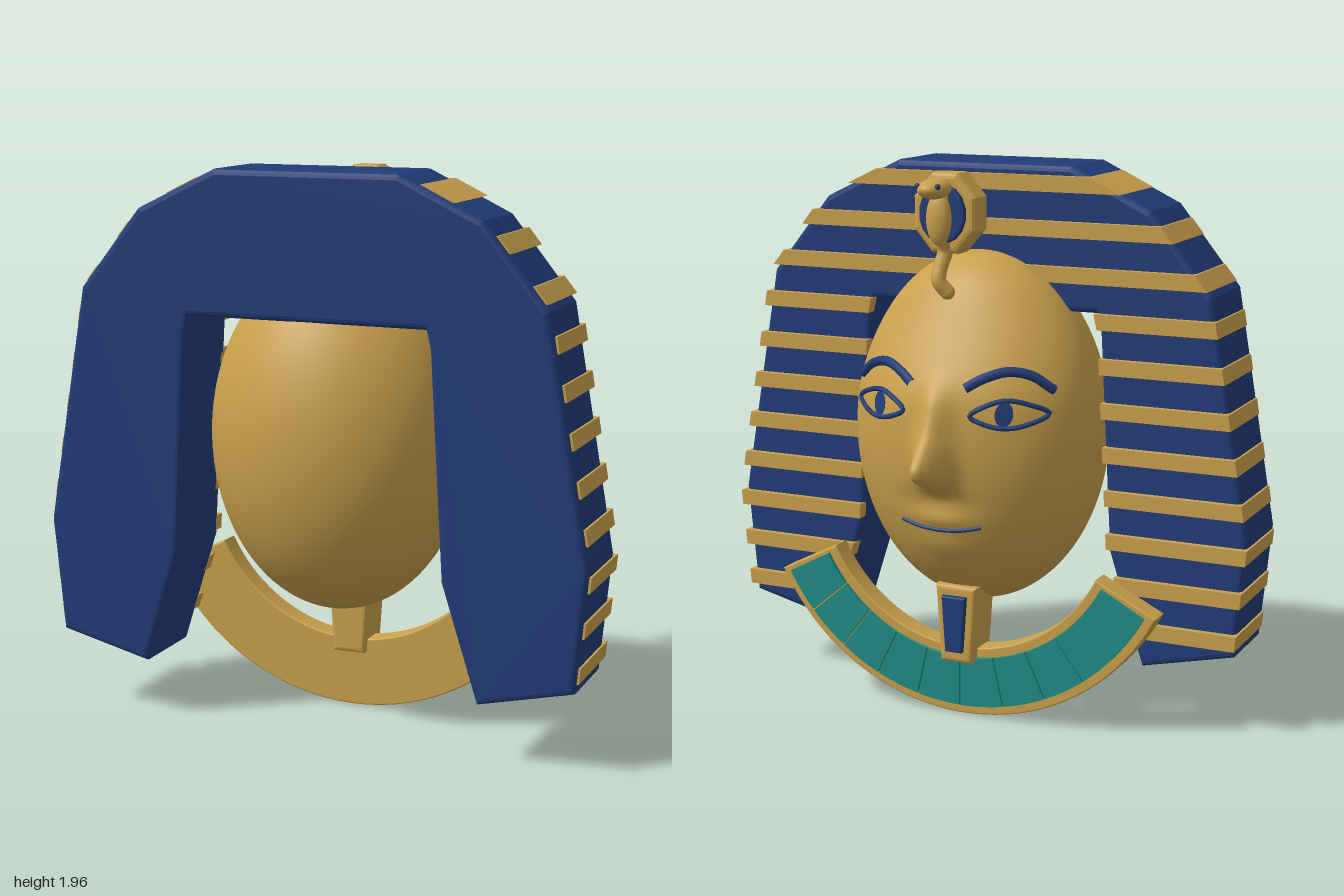
import * as THREE from 'three';
import { mergeVertices } from 'three/addons/utils/BufferGeometryUtils.js';

export function createModel() {
  const root = new THREE.Group();
  const mat = (name, color) => Object.assign(new THREE.MeshStandardMaterial({ color }), { name });
  const gold = mat('gold', 0xc9a04c);
  const blue = mat('lapis blue', 0x213c78);
  const teal = mat('turquoise', 0x1f8c86);
  const add = (name, geo, material, parent = root) => {
    const m = new THREE.Mesh(geo, material);
    m.name = name;
    parent.add(m);
    return m;
  };
  const group = (name) => {
    const g = new THREE.Group();
    g.name = name;
    root.add(g);
    return g;
  };
  // Outline extruded from z0 to z1, bevel kept inside the outline
  const slab = (pts, z0, z1, b = 0) => {
    const shape = pts instanceof THREE.Shape ? pts : new THREE.Shape(pts.map(p => new THREE.Vector2(p[0], p[1])));
    return new THREE.ExtrudeGeometry(shape, {
      depth: z1 - z0 - 2 * b, bevelEnabled: b > 0, bevelSize: b, bevelThickness: b,
      bevelOffset: -b, bevelSegments: 3, curveSegments: 40,
    }).translate(0, 0, z0 + b);
  };
  // Piecewise interpolation through [key, value] pairs in rising order
  const lookup = (table, k, smooth) => {
    if (k <= table[0][0]) return table[0][1];
    for (let i = 1; i < table.length; i++) {
      const [a, va] = table[i - 1], [b, vb] = table[i];
      if (k <= b) {
        let t = (k - a) / (b - a);
        if (smooth) t = t * t * (3 - 2 * t);
        return va + (vb - va) * t;
      }
    }
    return table[table.length - 1][1];
  };

  // Headdress
  const outer = [[0.29, 0.955], [0.7, 0.993], [1.54, 0.845], [1.82, 0.62], [1.96, 0.33]];
  const inner = [[0.21, 0.62], [0.62, 0.49], [1.4, 0.445], [1.46, 0.43]];
  const half = [...outer].reverse().concat(inner).map(([y, x]) => [x, y]);
  const hood = half.concat([...half].reverse().map(([x, y]) => [-x, y]));
  add('headdress', slab(hood, 0.07, 0.395, 0.02), blue);

  // Stripes: a bar over the face side and a band wrapped round each outer edge
  const stripes = group('headdressStripes');
  for (let i = 0; i < 11; i++) {
    const y0 = 0.322 + i * 0.155, y1 = y0 + 0.055;
    const o0 = lookup(outer, y0) + 0.008, o1 = lookup(outer, y1) + 0.008;
    const i0 = lookup(inner, y0), i1 = lookup(inner, y1);
    if (y0 > 1.46) add('crownBar', slab([[-o0, y0], [o0, y0], [o1, y1], [-o1, y1]], 0.045, 0.105), gold, stripes);
    for (const s of [-1, 1]) {
      if (y0 < 1.46) add('lappetBar', slab([[s * i0, y0], [s * o0, y0], [s * o1, y1], [s * i1, y1]], 0.045, 0.105), gold, stripes);
      add('edgeBand', slab([[s * (o0 - 0.04), y0], [s * o0, y0], [s * o1, y1], [s * (o1 - 0.04), y1]], 0.1, 0.37), gold, stripes);
    }
  }

  // Head: ellipsoid whose face side is reshaped with a nose, lips and chin
  const nose = [[0.855, 0], [0.895, 0.055], [0.94, 0.155], [0.97, 0.18], [1.03, 0.115], [1.08, 0.07], [1.15, 0.045], [1.3, 0]];
  const bump = (v, c, w) => Math.exp(-(((v - c) / w) ** 2));
  const faceZ = (x, y) => {
    const s = Math.max(0, 1 - (x / 0.46) ** 2 - ((y - 1.03) / 0.63) ** 2);
    const rz = 0.39 - 0.07 * THREE.MathUtils.smoothstep(y, 1.15, 1.5);
    return 0.07 - rz * Math.sqrt(s)
      - lookup(nose, y, y < 0.95 || y > 1.15) * bump(x, 0, 0.054)
      + 0.014 * bump(y, 0.83, 0.04) * bump(x, 0, 0.12)
      - 0.01 * bump(y, 0.765, 0.025) * bump(x, 0, 0.1)
      - 0.008 * bump(y, 0.66, 0.05) * bump(x, 0, 0.1);
  };
  const ball = new THREE.SphereGeometry(1, 144, 96);
  ball.deleteAttribute('uv');
  ball.deleteAttribute('normal');
  const headGeo = mergeVertices(ball, 1e-5);
  const p = headGeo.attributes.position;
  for (let i = 0; i < p.count; i++) {
    const x = p.getX(i) * 0.46, y = 1.03 + p.getY(i) * 0.63, z = p.getZ(i);
    p.setXYZ(i, x, y, z < -1e-4 ? faceZ(x, y) : 0.07 + z * 0.43);
  }
  headGeo.computeVertexNormals();
  add('head', headGeo, gold);

  // Painted features follow the face surface
  const onFace = (pts, r, closed = false) => {
    const flat = new THREE.CatmullRomCurve3(pts.map(([x, y]) => new THREE.Vector3(x, y, 0)), closed);
    const path = flat.getPoints(28).map(v => v.setZ(faceZ(v.x, v.y) - 0.004));
    if (closed) path.pop();
    return new THREE.TubeGeometry(new THREE.CatmullRomCurve3(path, closed), 48, r, 8, closed);
  };
  const face = group('faceDetails');
  for (const s of [-1, 1]) {
    const m = (pts) => pts.map(([x, y]) => [s * x, y]);
    add('eyebrow', onFace(m([[0.1, 1.235], [0.16, 1.27], [0.23, 1.29], [0.3, 1.275], [0.365, 1.225]]), 0.017), blue, face);
    add('eyeOutline', onFace(m([[0.125, 1.145], [0.175, 1.18], [0.235, 1.198], [0.3, 1.185], [0.36, 1.15],
      [0.3, 1.115], [0.235, 1.105], [0.175, 1.118]]), 0.009, true), blue, face);
    const iris = new THREE.CircleGeometry(1, 24).rotateY(Math.PI);
    const q = iris.attributes.position;
    for (let i = 0; i < q.count; i++) {
      const x = s * 0.235 + q.getX(i) * 0.028, y = 1.152 + q.getY(i) * 0.042;
      q.setXYZ(i, x, y, faceZ(x, y) - 0.008);
    }
    iris.computeVertexNormals();
    add('iris', iris, blue, face);
  }
  add('mouth', onFace([[-0.15, 0.748], [-0.08, 0.733], [0, 0.728], [0.08, 0.733], [0.15, 0.748]], 0.007), blue, face);

  // Collar with turquoise inlays
  const arc = (r0, r1, a0, a1) => {
    const sh = new THREE.Shape();
    sh.absarc(0, 0.82, r1, a0 - Math.PI / 2, a1 - Math.PI / 2, false);
    sh.absarc(0, 0.82, r0, a1 - Math.PI / 2, a0 - Math.PI / 2, true);
    return sh;
  };
  const collar = group('collar');
  add('collarBand', slab(arc(0.57, 0.82, -1.106, 1.106), -0.105, -0.02, 0.006), gold, collar);
  const count = 10, step = 2.17 / count;
  for (let i = 0; i < count; i++) {
    const a = -1.085 + i * step;
    add('collarInlay', slab(arc(0.605, 0.785, a + 0.004, a + step - 0.004), -0.12, -0.1), teal, collar);
  }

  // Pendant at the chin
  const pendant = group('pendant');
  add('pendantBody', slab([[-0.06, 0.205], [0.06, 0.205], [0.08, 0.49], [-0.08, 0.49]], -0.155, 0.01, 0.015), gold, pendant);
  add('pendantInlay', slab([[-0.032, 0.25], [0.032, 0.25], [0.046, 0.455], [-0.046, 0.455]], -0.177, -0.15, 0.006), blue, pendant);

  // Rearing cobra on its mount
  const cobra = group('cobra');
  const oval = (w, h, n) => Array.from({ length: n }, (_, i) => {
    const a = (i + 0.5) / n * Math.PI * 2;
    return [Math.cos(a) * w, 1.815 + Math.sin(a) * h];
  });
  add('cobraMount', slab(oval(0.124, 0.146, 8), -0.24, -0.13, 0.02), gold, cobra);
  add('cobraInlay', slab(oval(0.085, 0.1, 16), -0.258, -0.23, 0.006), blue, cobra);
  const blob = (name, r, pos, material) => add(name,
    new THREE.SphereGeometry(1, 24, 16).scale(...r).translate(...pos), material, cobra);
  blob('cobraHood', [0.045, 0.09, 0.032], [0, 1.8, -0.275], gold);
  blob('cobraHead', [0.052, 0.034, 0.078], [0, 1.903, -0.308], gold);
  const tube = (name, pts, r) => add(name, new THREE.TubeGeometry(
    new THREE.CatmullRomCurve3(pts.map(v => new THREE.Vector3(...v))), 24, r, 12), gold, cobra);
  tube('cobraNeck', [[0, 1.82, -0.275], [0, 1.86, -0.265], [0, 1.9, -0.275]], 0.028);
  tube('cobraTail', [[0, 1.74, -0.25], [0, 1.69, -0.225], [0.01, 1.64, -0.24], [0.01, 1.59, -0.256], [-0.015, 1.552, -0.242]], 0.026);
  blob('cobraTailTip', [0.026, 0.026, 0.026], [-0.015, 1.552, -0.242], gold);
  for (const s of [-1, 1]) blob('cobraEye', [0.01, 0.01, 0.01], [s * 0.037, 1.915, -0.358], blue);

  return root;
}
